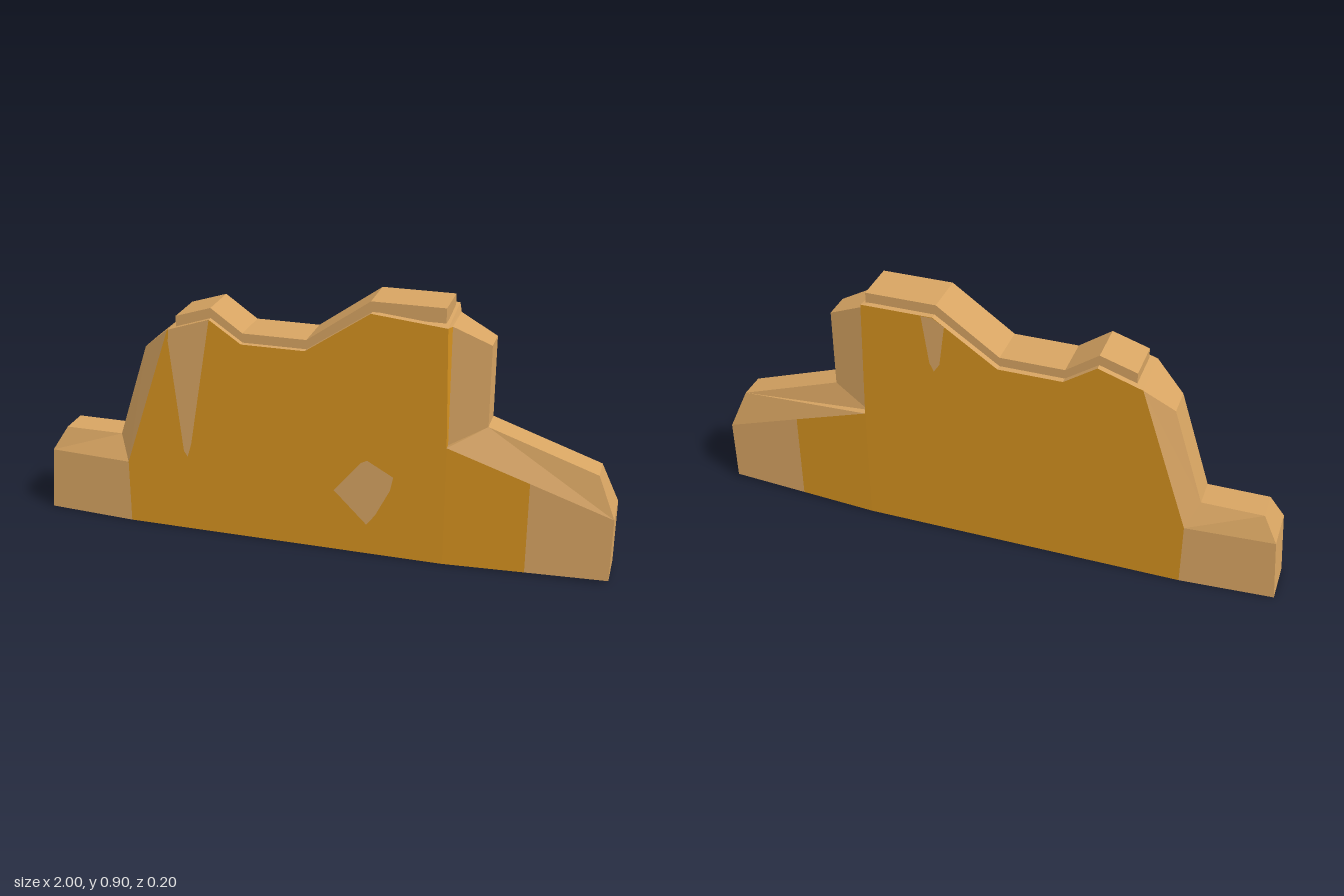
import * as THREE from 'three';

const ochre = new THREE.MeshStandardMaterial({ color: 0xd4911f });
ochre.name = 'ochre';
const tan = new THREE.MeshStandardMaterial({ color: 0xd7a462 });
tan.name = 'tan';

// Half thickness of the slab: full in the middle, tapering to both ends
function halfZ(x) {
  if (x < -0.68) return THREE.MathUtils.mapLinear(x, -1, -0.68, 0.076, 0.097);
  if (x > 0.45) return THREE.MathUtils.mapLinear(x, 0.45, 1, 0.097, 0.072);
  return 0.097;
}

// Points are [x, y] on the slab face, or [x, y, z] further in
const at = ([x, y, z = halfZ(x)], s) => [x, y, z * s];

// Mesh from convex corner loops, flat faced
function facets(name, material, loops) {
  const pos = [];
  for (const loop of loops) {
    for (let i = 1; i < loop.length - 1; i++) pos.push(...loop[0], ...loop[i], ...loop[i + 1]);
  }
  const geo = new THREE.BufferGeometry();
  geo.setAttribute('position', new THREE.Float32BufferAttribute(pos, 3));
  geo.computeVertexNormals();
  const mesh = new THREE.Mesh(geo, material);
  mesh.name = name;
  return mesh;
}

// The same loops on the front and, mirrored, on the back
const bothSides = (loops) => [1, -1].flatMap((s) => loops.map((loop) => {
  const pts = loop.map((p) => at(p, s));
  return s > 0 ? pts : pts.reverse();
}));

// Flat outline laid on the front (s = 1) or back (s = -1) of the slab
function panel(name, material, outline, s, lift = 0) {
  const geo = new THREE.ShapeGeometry(new THREE.Shape(outline.map(([x, y]) => new THREE.Vector2(x, y))));
  const p = geo.attributes.position;
  for (let i = 0; i < p.count; i++) p.setZ(i, s * (halfZ(p.getX(i)) + lift));
  if (s < 0) geo.index.array.reverse();
  geo.computeVertexNormals();
  const mesh = new THREE.Mesh(geo, material);
  mesh.name = name;
  return mesh;
}

// Band running across the thickness along a path
const band = (path) => path.slice(1).map((b, i) => {
  const a = path[i];
  return [at(a, 1), at(b, 1), at(b, -1), at(a, -1)];
});

export function createModel() {
  const group = new THREE.Group();
  group.name = 'ridgeSlab';

  // Front and back faces
  for (const s of [1, -1]) {
    const side = s > 0 ? 'front' : 'back';
    const corner = s > 0 ? [0.44, 0.84] : [0.44, 0.865];
    group.add(
      panel(side + 'Face', ochre, [[-0.68, 0], [0.45, 0], [0.45, 0.43], corner, [0.19, 0.865],
        [-0.03, 0.715], [-0.25, 0.715], [-0.36, 0.79], [-0.51, 0.74], [-0.68, 0.23]], s),
      panel(side + 'FaceTaper', ochre, [[0.45, 0], [0.725, 0.005], [0.725, 0.333], [0.45, 0.43]], s),
      panel(side + 'RightEnd', tan, [[-1, 0], [-0.68, 0], [-0.68, 0.23], [-0.98, 0.23]], s),
      panel(side + 'LeftEnd', tan, [[0.725, 0.005], [1, 0.01], [1, 0.235], [0.725, 0.333]], s),
    );
    // Narrow return beside the tall step
    const strip = [[...corner], [0.45, 0.43], [0.45, 0.43, 0.073], [0.45, 0.84, 0.073]].map((p) => at(p, s));
    group.add(facets(side + 'StepReturn', ochre, [s > 0 ? strip : strip.reverse()]));
  }

  // Sloped shoulders between the faces and the narrower ridge
  group.add(facets('shoulders', tan, bothSides([
    [[-0.98, 0.23], [-0.68, 0.23], [-0.72, 0.315, 0.052], [-0.93, 0.315, 0.052]],
    [[-0.68, 0.23], [-0.51, 0.74], [-0.61, 0.655, 0.052], [-0.72, 0.315, 0.052]],
    [[0.45, 0.43, 0.073], [0.575, 0.5, 0.048], [0.575, 0.78, 0.048], [0.45, 0.84, 0.073]],
    [[0.575, 0.5, 0.048], [0.45, 0.43, 0.073], [0.45, 0.43], [1, 0.235], [0.94, 0.375, 0.048]],
  ])));

  // Top of the ridge and both ends
  const ridge = band([[-1, 0], [-0.98, 0.23], [-0.93, 0.315, 0.052], [-0.72, 0.315, 0.052],
    [-0.61, 0.655, 0.052], [-0.51, 0.74], [-0.36, 0.79], [-0.25, 0.715], [-0.03, 0.715], [0.19, 0.865]]);
  const cornerFront = [0.44, 0.84, 0.097], cornerBack = [0.44, 0.865, -0.097];
  ridge.push(
    [[0.19, 0.865, 0.097], cornerFront, cornerBack, [0.19, 0.865, -0.097]],
    [cornerFront, [0.45, 0.84, 0.073], [0.45, 0.84, -0.073], cornerBack],
    ...band([[0.45, 0.84, 0.073], [0.575, 0.78, 0.048], [0.575, 0.5, 0.048],
      [0.94, 0.375, 0.048], [1, 0.235], [1, 0.01]]),
  );
  group.add(facets('ridge', tan, ridge));

  // Underside
  group.add(facets('undersideEnds', tan, [
    ...band([[1, 0.01], [0.725, 0.005]]), ...band([[-0.68, 0], [-1, 0]])]));
  group.add(facets('underside', ochre, band([[0.725, 0.005], [0.45, 0], [-0.68, 0]])));

  // Raised cap strip following the crest
  const crest = [[-0.485, 0.785], [-0.36, 0.825], [-0.25, 0.747], [-0.03, 0.747], [0.185, 0.9], [0.43, 0.9]];
  const under = crest.map(([x, y]) => [x, y - 0.05]).reverse();
  const capShape = new THREE.Shape([...crest, ...under].map(([x, y]) => new THREE.Vector2(x, y)));
  const capGeo = new THREE.ExtrudeGeometry(capShape, { depth: 0.154, bevelEnabled: false });
  const cap = new THREE.Mesh(capGeo.translate(0, 0, -0.076), tan);
  cap.name = 'crestCap';
  group.add(cap);

  // Pale patches on the faces
  group.add(
    panel('frontStreak', tan, [[-0.509, 0.7], [-0.505, 0.742], [-0.36, 0.79], [-0.44, 0.33],
      [-0.455, 0.28], [-0.468, 0.3]], 1, 0.001),
    panel('frontPatch', tan, [[0.07, 0.225], [0.185, 0.11], [0.215, 0.15], [0.265, 0.25], [0.275, 0.3],
      [0.185, 0.35], [0.165, 0.34]], 1, 0.001),
    panel('backStreak', tan, [[0.15, 0.838], [0.17, 0.69], [0.19, 0.66], [0.205, 0.69], [0.23, 0.864],
      [0.19, 0.864]], -1, 0.001),
  );
  return group;
}
